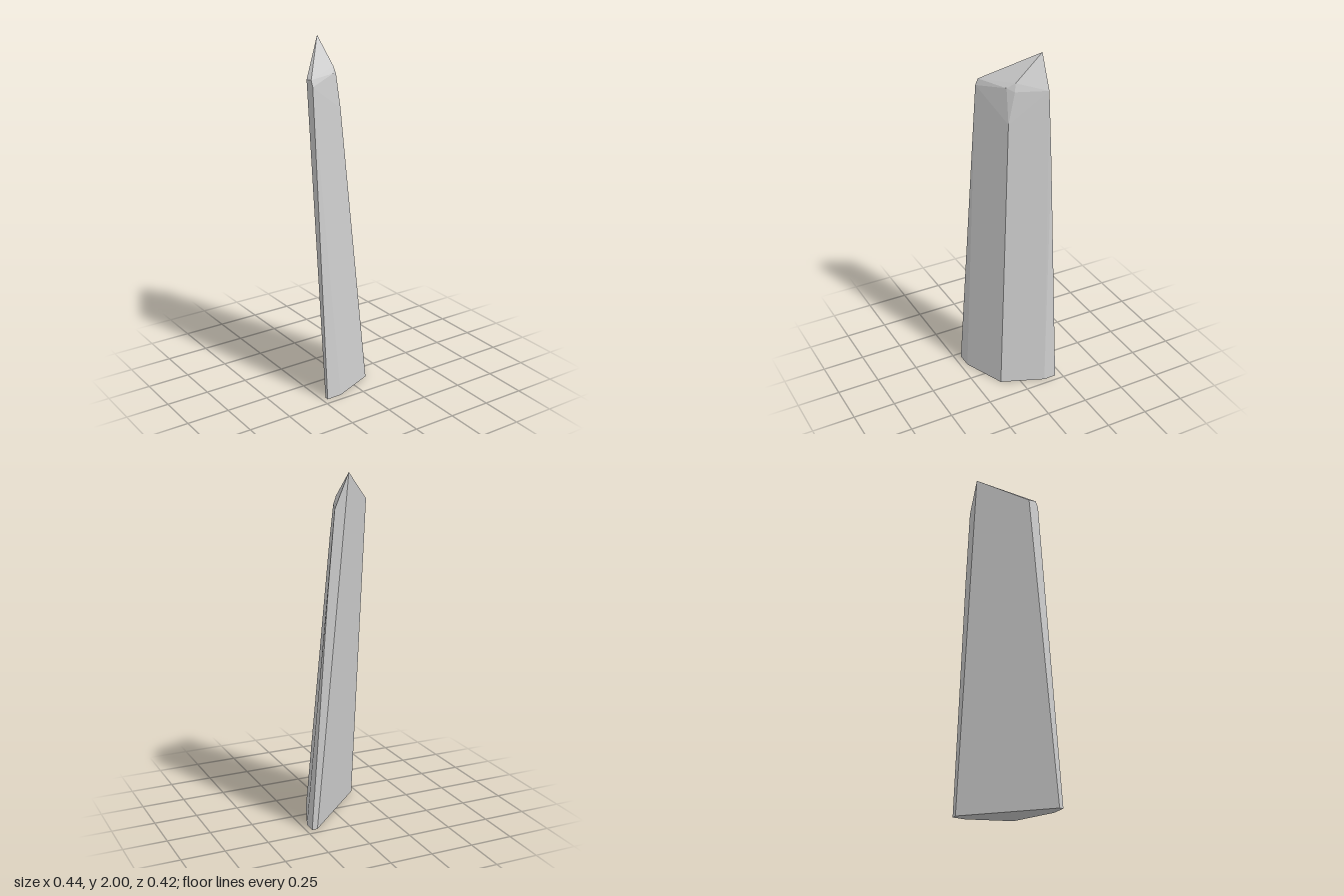
import * as THREE from 'three';
import { ConvexGeometry } from 'three/addons/geometries/ConvexGeometry.js';

// A leaning, faceted crystal shard: the flat facets are the hull of its corners.
export function createModel() {
  const stone = new THREE.MeshStandardMaterial({ color: 0xcccccc });
  stone.name = 'paleGrey';

  // foot outline at ground level (x, z)
  const foot = [
    [-0.22, 0.187], [-0.22, 0.21], [-0.13, 0.21], [0.117, 0.108],
    [0.217, -0.135], [0.217, -0.21], [0.185, -0.21],
  ].map(([x, z]) => [x, 0, z]);

  // corners where the side walls bend or end
  const shoulder = [
    [0.115, 1.4, -0.21],    // back edge kink
    [0.01, 1.63, 0],        // front ridge splits
    [-0.22, 1.79, 0.08],    // front of the outer side
    [-0.22, 1.82, 0.02],    // back of the outer side
    [-0.22, 1.825, 0.065],
    [0.078, 1.81, -0.21],   // back corner
  ];

  // small bevel facets and the point
  const tip = [
    [-0.03, 1.825, -0.01],
    [-0.003, 1.855, -0.05],
    [0.008, 1.81, -0.04],
    [-0.003, 2, -0.21],
  ];

  const corners = [...foot, ...shoulder, ...tip].map((p) => new THREE.Vector3(...p));
  const shard = new THREE.Mesh(new ConvexGeometry(corners), stone);
  shard.name = 'crystalShard';

  const group = new THREE.Group();
  group.name = 'crystal';
  group.add(shard);
  return group;
}
